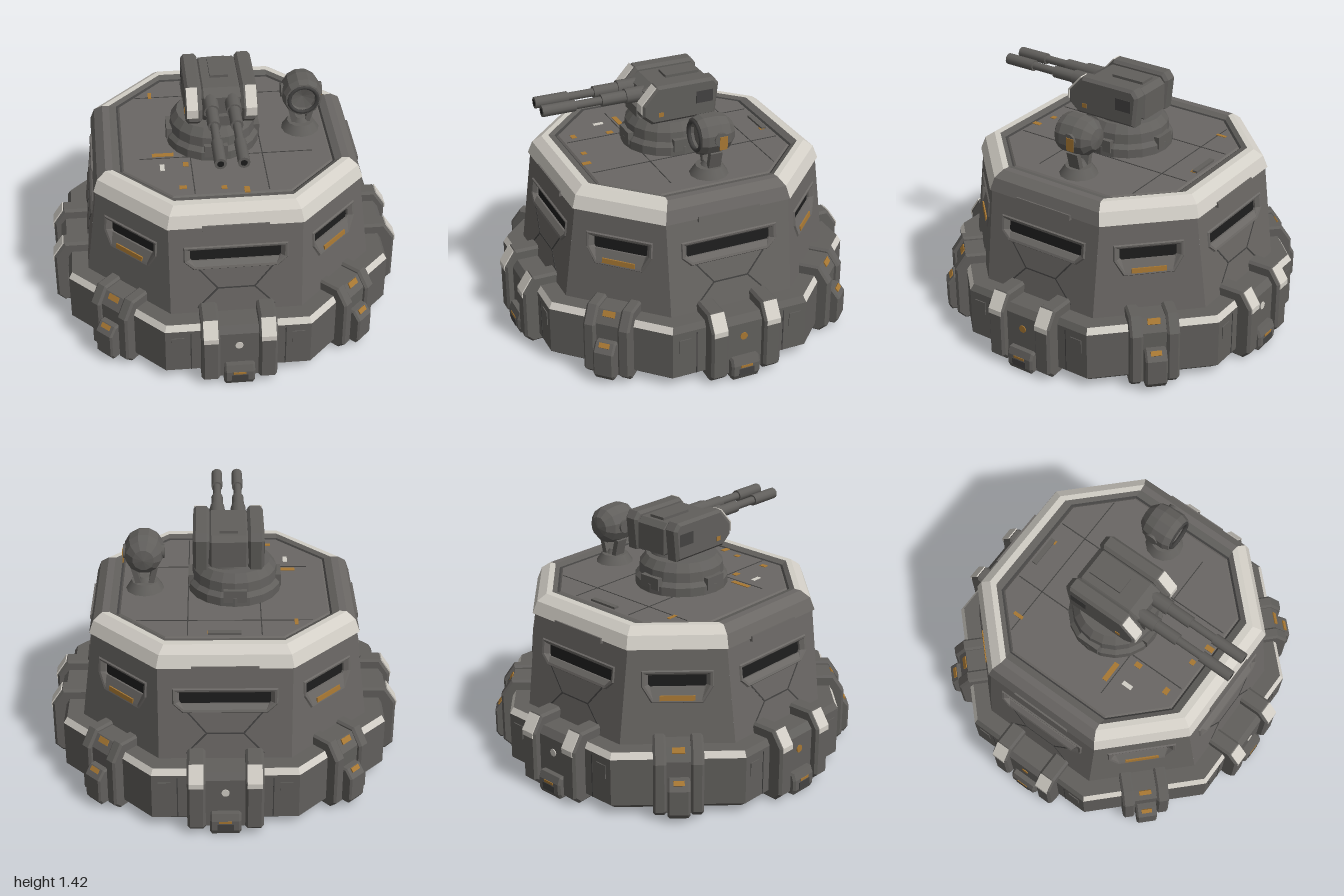
import * as THREE from 'three';

const mat = (name, color) => Object.assign(new THREE.MeshStandardMaterial({ color }), { name });
const M = {
  grey: mat('armour grey', 0x6a6764),
  dark: mat('dark armour grey', 0x615f5c),
  under: mat('underside grey', 0x8a8783),
  seam: mat('seam grey', 0x434241),
  black: mat('slit black', 0x1c1c1c),
  white: mat('worn white', 0xd2cec6),
  rust: mat('rust orange', 0xa87833),
  brown: mat('underside brown', 0xbe9862),
};

function add(parent, name, geo, material, x = 0, y = 0, z = 0) {
  const m = new THREE.Mesh(geo, material);
  m.name = name;
  m.position.set(x, y, z);
  parent.add(m);
  return m;
}
const box = (p, name, material, w, h, d, x, y, z) =>
  add(p, name, new THREE.BoxGeometry(w, h, d), material, x, y, z);

// Octagon loop: a = distance to the four main faces, h = their half width
const oct = (a, h, y) => [[-h, a], [h, a], [a, h], [a, -h], [h, -a], [-h, -a], [-a, -h], [-a, h]]
  .map(([x, z]) => [x, y, z]);

// Flat-faced skin between loops; sides picks which faces to build
function loft(rings, sides) {
  const pos = [], n = rings[0].length;
  for (let r = 0; r + 1 < rings.length; r++)
    for (let i = 0; i < n; i++) {
      if (sides && !sides.includes(i)) continue;
      const j = (i + 1) % n, [p, q] = [rings[r], rings[r + 1]];
      pos.push(...p[i], ...p[j], ...q[j], ...p[i], ...q[j], ...q[i]);
    }
  const g = new THREE.BufferGeometry();
  g.setAttribute('position', new THREE.Float32BufferAttribute(pos, 3));
  g.computeVertexNormals();
  return g;
}

// Side profile of [z, y] points, given a width along x and chamfered edges
function slab(profile, w, b = 0) {
  const shape = new THREE.Shape(profile.map(([z, y]) => new THREE.Vector2(z, y)));
  const g = new THREE.ExtrudeGeometry(shape, {
    depth: w - 2 * b, bevelEnabled: b > 0, bevelSize: b, bevelThickness: b, bevelOffset: -b, bevelSegments: 1,
  });
  return g.translate(0, 0, b - w / 2).rotateY(-Math.PI / 2);
}
// Thin painted skin following a bent edge
const paint = (pts, w) => slab([...pts, ...pts.map(([z, y]) => [z + 0.005, y + 0.005]).reverse()], w);

// Thin line between two points on a wall
function seam(p, x0, y0, x1, y1) {
  const m = box(p, 'wallSeam', M.seam, Math.hypot(x1 - x0, y1 - y0), 0.008, 0.004, (x0 + x1) / 2, (y0 + y1) / 2, 0);
  m.rotation.z = Math.atan2(y1 - y0, x1 - x0);
}

const MAIN = [2, 6], PAINTED = [0, 1, 3, 4, 5, 7];

function buildShell(g) {
  // Foundation ring and underside
  add(g, 'undersidePlate', loft([oct(0, 0, 0.025), oct(0.53, 0.24, 0.025)]), M.brown);
  const foot = oct(0.86, 0.38, 0.02);
  add(g, 'undersideRim', loft([oct(0.53, 0.24, 0.025), oct(0.55, 0.25, 0.005), oct(0.63, 0.28, 0.005),
    oct(0.65, 0.29, 0.02), foot]), M.under);
  const lip = [oct(0.91, 0.4, 0.335), oct(0.89, 0.39, 0.37)];
  add(g, 'foundation', loft([foot, oct(0.91, 0.4, 0.06), lip[0]]), M.dark);
  add(g, 'foundationPaintedEdge', loft(lip, PAINTED), M.white);
  add(g, 'foundationEdge', loft(lip, MAIN), M.dark);
  add(g, 'foundationTop', loft([lip[1], oct(0.78, 0.36, 0.37)]), M.dark);
  // Parapet and roof
  const rim = [oct(0.73, 0.36, 0.9), oct(0.742, 0.365, 0.905), oct(0.718, 0.35, 0.975), oct(0.67, 0.325, 1.012), oct(0.63, 0.32, 1.012)];
  add(g, 'parapetPainted', loft(rim, PAINTED), M.white);
  add(g, 'parapetPlain', loft(rim, MAIN), M.grey);
  add(g, 'parapetInside', loft([rim[4], oct(0.59, 0.325, 1.0)]), M.dark);
  add(g, 'roofGroove', loft([oct(0.59, 0.325, 1.0), oct(0.58, 0.32, 0.992)]), M.seam);
  add(g, 'roofDeck', loft([oct(0.58, 0.32, 0.992), oct(0.57, 0.317, 1.0), oct(0, 0, 1.0)]), M.grey);
  for (const s of [-0.2, 0.2]) box(g, 'deckSeam', M.seam, 0.006, 0.004, 1.12, s, 1.0, 0);
  for (const s of [-0.4, 0.22]) box(g, 'deckSeam', M.seam, 0.96, 0.004, 0.005, 0, 1.0, s);
  box(g, 'deckVent', M.dark, 0.18, 0.016, 0.03, 0, 1.004, -0.54);
  for (const [x, z, w, d] of [[-0.35, 0.19, 0.12, 0.03], [-0.26, 0.5, 0.04, 0.03], [0.08, 0.55, 0.03, 0.05],
    [-0.39, -0.42, 0.02, 0.06], [0.08, -0.53, 0.025, 0.03], [-0.23, 0.29, 0.03, 0.04], [-0.04, 0.52, 0.03, 0.03]])
    box(g, 'deckRust', M.rust, w, 0.006, d, x, 1.0, z);
  box(g, 'deckScuff', M.white, 0.025, 0.006, 0.06, -0.36, 1.0, 0.31);
}

function buildWall(g, i) {
  const diag = i % 2, turn = new THREE.Group(), wall = new THREE.Group();
  const [d0, d1, w0, w1] = diag ? [0.8202, 0.7707, 0.3111, 0.2616] : [0.8, 0.73, 0.36, 0.36];
  const H = Math.hypot(0.55, d0 - d1);
  turn.name = 'wallSide';
  turn.rotation.y = i * Math.PI / 4;
  wall.name = 'wall';
  wall.position.set(0, 0.35, d0);
  wall.rotation.x = -Math.atan2(d0 - d1, 0.55);
  turn.add(wall);
  g.add(turn);
  // Wall with a recessed window opening
  const hex = (w, wb, lo, mid, hi, z) =>
    [[-wb, lo, z], [wb, lo, z], [w, mid, z], [w, hi, z], [-w, hi, z], [-w, mid, z]];
  const W = diag ? 0.18 : 0.27, B = diag ? 0.13 : 0.22, lo = diag ? 0.265 : 0.305;
  const outer = hex(W, B, lo, 0.35, 0.425, 0);
  const shape = new THREE.Shape([[-w0, 0], [w0, 0], [w1, H], [-w1, H]].map(p => new THREE.Vector2(...p)));
  shape.holes.push(new THREE.Path(outer.map(([x, y]) => new THREE.Vector2(x, y)).reverse()));
  add(wall, 'wallPlate', new THREE.ShapeGeometry(shape), M.grey);
  const s = W - 0.025;
  add(wall, 'windowFrame', loft([hex(W + 0.012, B + 0.01, lo - 0.011, 0.346, 0.437, 0),
    hex(W + 0.006, B + 0.004, lo - 0.005, 0.348, 0.431, 0.008), hex(W - 0.006, B, lo + 0.008, 0.352, 0.42, 0.005),
    hex(s, s - 0.01, 0.34, 0.352, 0.406, -0.015), hex(s, s - 0.01, 0.34, 0.352, 0.406, -0.04)]), M.grey);
  box(wall, 'windowSlit', M.black, 2 * s + 0.02, 0.08, 0.02, 0, 0.372, -0.036);
  if (diag) box(wall, 'windowRust', M.rust, 0.19, 0.028, 0.008, 0, 0.282, 0.005);
  else {
    // Panel lines below the window and a tab under the parapet
    for (const m of [-1, 1]) {
      seam(wall, m * 0.2, 0.295, m * 0.1, 0.17);
      seam(wall, m * 0.1, 0.17, m * 0.21, 0.05);
    }
    seam(wall, -0.1, 0.17, 0.1, 0.17);
    box(wall, 'parapetTab', M.grey, 0.36, 0.03, 0.02, 0, 0.555, 0.01);
  }

  // Buttresses on the foundation
  const R = 0.993;
  const rib = [[0.77, 0.02], [0.95, 0.01], [R, 0.05], [R, 0.335], [0.93, 0.43], [0.77, 0.43]];
  if (diag) {
    for (const m of [-1, 1]) add(turn, 'cornerRib', slab(rib, 0.07, 0.012), M.dark, m * 0.1);
    add(turn, 'cornerCore', slab([[0.77, 0.03], [0.965, 0.03], [0.97, 0.34], [0.925, 0.41], [0.77, 0.41]], 0.14), M.dark);
    add(turn, 'cornerBox', slab([[0.9, 0.03], [1.02, 0.03], [1.04, 0.06], [1.04, 0.2], [1.0, 0.25], [0.9, 0.25]], 0.12, 0.01), M.dark);
    add(turn, 'cornerBoxRust', paint([[1.02, 0.225], [1.003, 0.246]], 0.06), M.rust);
    add(turn, 'cornerRust', paint([[0.946, 0.377], [0.928, 0.405]], 0.07), M.rust);
  } else {
    for (const m of [-1, 1]) {
      add(turn, 'buttressRib', slab(rib, 0.1, 0.014), M.dark, m * 0.157);
      add(turn, 'ribPaint', paint([[R, 0.305], [R, 0.335], [0.935, 0.424]], 0.08), M.white, m * 0.157);
      // Clamp plates beside the buttress
      box(turn, 'clampPlate', M.dark, 0.07, 0.08, 0.02, m * 0.33, 0.25, 0.905);
      box(turn, 'ringSeam', M.seam, 0.006, 0.26, 0.004, m * 0.26, 0.19, 0.91);
    }
    add(turn, 'buttressPanel', slab([[0.77, 0.03], [0.95, 0.03], [0.95, 0.33], [0.92, 0.37], [0.77, 0.37]], 0.23), M.dark);
    add(turn, 'buttressBox', slab([[0.9, 0], [0.98, 0], [0.995, 0.03], [0.995, 0.09], [0.98, 0.13], [0.9, 0.13]], 0.17, 0.012), M.dark);
    box(turn, 'boxHatch', M.seam, 0.09, 0.04, 0.006, 0, 0.05, 0.995);
    box(turn, 'boxRust', M.rust, 0.07, 0.014, 0.006, 0, 0.083, 0.995);
    const spot = add(turn, 'spot', new THREE.CylinderGeometry(0.022, 0.022, 0.006, 12), i % 4 ? M.rust : M.white, 0, 0.25, 0.952);
    spot.rotation.x = Math.PI / 2;
  }
}

function buildTurret(g) {
  const t = new THREE.Group();
  t.name = 'turret';
  g.add(t);
  // Turntable
  const prof = [[0.262, 1.0], [0.262, 1.05], [0.24, 1.075], [0.235, 1.13], [0.2, 1.175], [0, 1.18]];
  const table = loft(prof.map(([r, y]) => Array.from({ length: 20 }, (_, k) => {
    const a = k * Math.PI / 10;
    return [Math.sin(a) * r, y, Math.cos(a) * r];
  })));
  add(t, 'turntable', table, M.dark, -0.06, 0, 0.01);
  for (let k = 0; k < 4; k++) {
    const a = k * Math.PI / 2;
    const b = box(t, 'turntableLug', M.dark, 0.13, 0.07, 0.05, -0.06 + Math.sin(a) * 0.235, 1.06, 0.01 + Math.cos(a) * 0.235);
    b.rotation.y = a;
  }
  // Gun housing
  const x0 = -0.025;
  add(t, 'neck', new THREE.CylinderGeometry(0.13, 0.15, 0.06, 16), M.dark, x0, 1.195, 0);
  add(t, 'housing', slab([[-0.2, 1.22], [0.16, 1.2], [0.21, 1.26], [0.21, 1.37], [0.15, 1.4], [-0.17, 1.4], [-0.2, 1.37]], 0.22, 0.015), M.dark, x0);
  const cheek = [[-0.19, 1.2], [0.19, 1.2], [0.25, 1.25], [0.25, 1.32], [0.16, 1.42], [-0.18, 1.42], [-0.21, 1.38]];
  for (const m of [-1, 1]) {
    add(t, 'cheekArmour', slab(cheek, 0.09, 0.016), M.dark, x0 + m * 0.15);
    add(t, 'cheekPaint', paint([[0.25, 1.27], [0.25, 1.32], [0.165, 1.414]], 0.06), M.white, x0 + m * 0.16);
    box(t, 'cheekPanel', M.seam, 0.006, 0.07, 0.1, x0 + m * 0.194, 1.32, -0.12);
    box(t, 'cheekRust', M.rust, 0.006, 0.025, 0.03, x0 + m * 0.195, 1.255, 0.14);
    // Twin barrels, stepped along their length
    for (const [name, r, a, b] of [['barrelSleeve', 0.043, 0.18, 0.3], ['barrelJacket', 0.034, 0.3, 0.44],
      ['barrel', 0.023, 0.44, 0.6], ['muzzle', 0.032, 0.59, 0.78]]) {
      const c = add(t, name, new THREE.CylinderGeometry(r, r, b - a, 12), M.dark, x0 + m * 0.06, 1.34, (a + b) / 2);
      c.rotation.x = Math.PI / 2;
    }
    add(t, 'bore', new THREE.CircleGeometry(0.018, 12), M.black, x0 + m * 0.06, 1.34, 0.781);
  }
  box(t, 'feedCover', M.dark, 0.1, 0.03, 0.2, x0, 1.4, -0.05);
  box(t, 'chin', M.dark, 0.16, 0.06, 0.06, x0, 1.24, 0.21);
}

function buildSensor(g) {
  const s = new THREE.Group();
  s.name = 'sensor';
  s.position.set(0.445, 1.0, -0.02);
  g.add(s);
  // Foot and fork
  add(s, 'sensorFoot', new THREE.CylinderGeometry(0.075, 0.108, 0.05, 12), M.dark, 0, 0.025, 0);
  add(s, 'sensorPost', new THREE.CylinderGeometry(0.03, 0.05, 0.03, 10), M.dark, 0, 0.06, 0);
  for (const m of [-1, 1]) {
    const leg = box(s, 'forkLeg', M.dark, 0.03, 0.11, 0.07, m * 0.048, 0.095, -0.01);
    leg.rotation.z = -m * 0.25;
    const hub = add(s, 'pivot', new THREE.CylinderGeometry(0.04, 0.04, 0.02, 10), M.dark, m * 0.105, 0.24, -0.02);
    hub.rotation.z = Math.PI / 2;
  }
  // Drum head, open dish at the front and rounded back
  const pts = [[0, -0.135], [0.06, -0.125], [0.1, -0.085], [0.112, -0.03], [0.112, 0.05], [0.1, 0.085], [0.082, 0.09], [0.07, 0.06], [0, 0.045]];
  const head = loft(pts.map(([r, z]) => Array.from({ length: 12 }, (_, k) => {
    const a = (k + 0.5) * Math.PI / 6;
    return [Math.cos(a) * r, Math.sin(a) * r, z];
  })));
  add(s, 'sensorHead', head, M.dark, 0, 0.235, 0);
  add(s, 'lensRing', new THREE.TorusGeometry(0.08, 0.012, 6, 16), M.seam, 0, 0.235, 0.085);
  box(s, 'sensorRust', M.rust, 0.006, 0.075, 0.045, 0.116, 0.22, -0.03);
}

export function createModel() {
  const g = new THREE.Group();
  g.name = 'bunker';
  buildShell(g);
  for (let i = 0; i < 8; i++) buildWall(g, i);
  buildTurret(g);
  buildSensor(g);
  return g;
}
